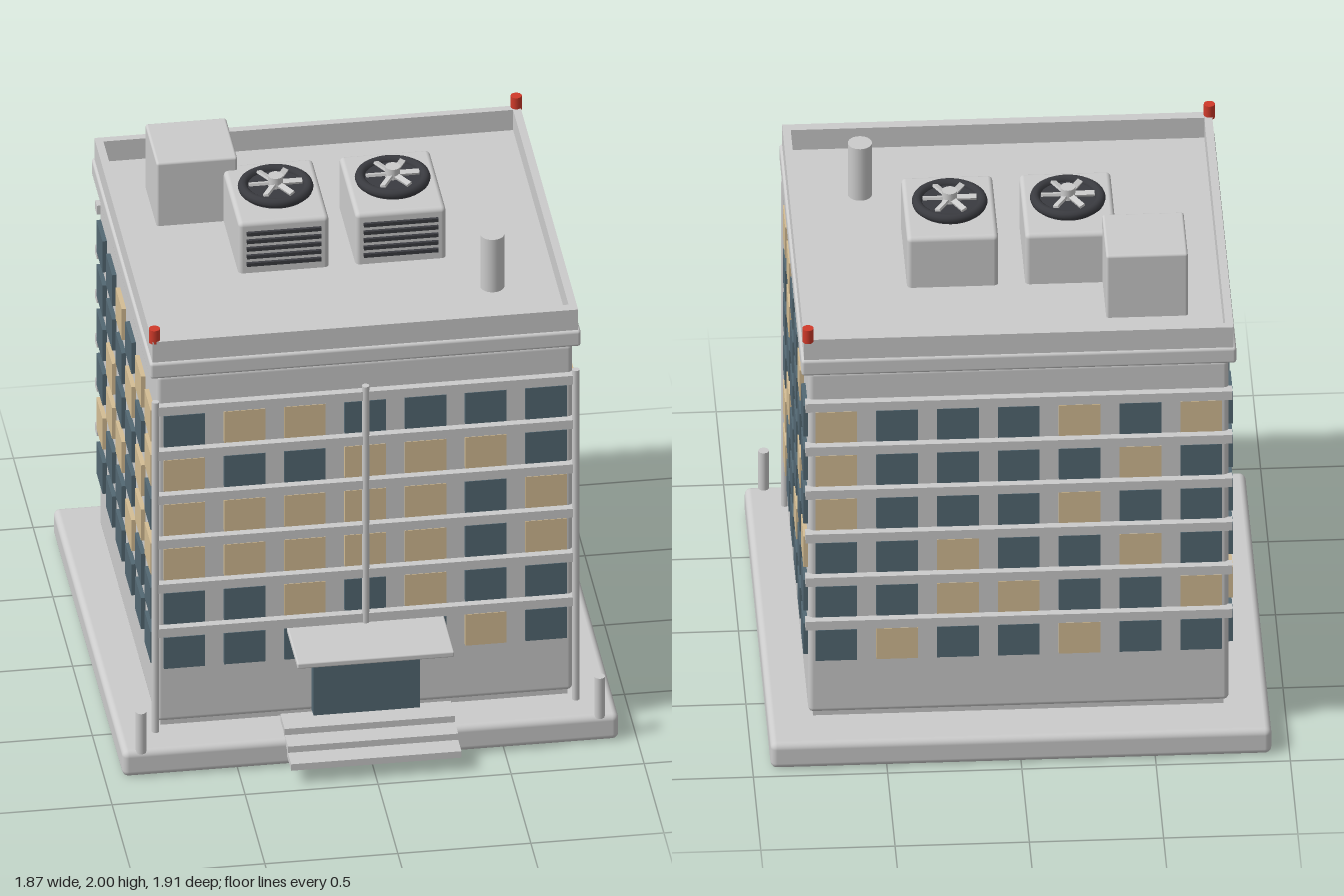
import * as THREE from 'three';
import { RoundedBoxGeometry } from 'three/addons/geometries/RoundedBoxGeometry.js';

const mat = (color) => new THREE.MeshStandardMaterial({ color });
const GREY = mat(0xcccccc);
const DARK = mat(0x3a3b40);
const BLUE = mat(0x536873);
const YELLOW = mat(0xd4bd94);
const RED = mat(0xd03a2a);
const PALE = mat(0xeeeeea);

// Window lighting, top floor first, left to right as seen facing each wall (Y = lit)
const LIT = {
  front: ['BYYBBBB', 'YBBYYYB', 'YYYYYBY', 'YYYYYBY', 'BBYBYBB', 'BBBBBYB'],
  right: ['YYBBYB', 'BYBBBB', 'BBBBYB', 'BYBBBY', 'YBBYBB', 'YBBBBB'],
  back: ['YBBBYBY', 'YBBBBYB', 'YBBBYBB', 'BBYBBYB', 'BBYYBBY', 'BYBBYBB'],
  left: ['BBYBYY', 'BBBYBY', 'BYBBYB', 'BYYBYY', 'YBBYBB', 'BBBBBB'],
};
const ROW_TOP = 1.407, ROW_STEP = 0.193;
const MID_Z = -0.06; // centre of the tower in depth

function add(parent, name, geometry, material, x = 0, y = 0, z = 0) {
  const mesh = new THREE.Mesh(geometry, material);
  mesh.name = name;
  mesh.position.set(x, y, z);
  parent.add(mesh);
  return mesh;
}

// Box given by its limits; r > 0 rounds the edges
function block(parent, name, [x0, x1], [y0, y1], [z0, z1], material = GREY, r = 0) {
  const s = [x1 - x0, y1 - y0, z1 - z0];
  const geo = r ? new RoundedBoxGeometry(...s, 3, r) : new THREE.BoxGeometry(...s);
  return add(parent, name, geo, material, (x0 + x1) / 2, (y0 + y1) / 2, (z0 + z1) / 2);
}

// Upright cylinder between two heights
function post(parent, name, r, y0, y1, x, z, material = GREY, sides = 24) {
  return add(parent, name, new THREE.CylinderGeometry(r, r, y1 - y0, sides), material, x, (y0 + y1) / 2, z);
}

// One wall of windows, built facing +z and then turned into place
function wall(name, angle, x, z, spacing, ledges) {
  const g = new THREE.Group();
  g.name = name + 'Wall';
  g.position.set(x, 0, z);
  g.rotation.y = angle;
  const pane = new THREE.BoxGeometry(0.155, 0.135, 0.04);
  LIT[name].forEach((line, row) => {
    const y = ROW_TOP - row * ROW_STEP;
    [...line].forEach((c, i) => {
      const px = (i - (line.length - 1) / 2) * spacing;
      add(g, 'window', pane, c === 'Y' ? YELLOW : BLUE, px, y, -0.003);
    });
    if (ledges) block(g, 'ledge', [-0.795, 0.795], [y + 0.077, y + 0.115], [-0.01, 0.03]);
  });
  return g;
}

// Rooftop cooling unit with front louvres and a fan on top
function coolingUnit(x) {
  const g = new THREE.Group();
  g.name = 'coolingUnit';
  g.position.set(x, 0, -0.115);
  block(g, 'unitCase', [-0.17, 0.17], [1.69, 1.93], [-0.215, 0.21], GREY, 0.018);
  for (let i = 0; i < 5; i++) {
    const y = 1.885 - i * 0.033;
    block(g, 'louvre', [-0.14, 0.14], [y - 0.007, y + 0.007], [0.2, 0.222], DARK);
  }
  post(g, 'fanHousing', 0.125, 1.92, 1.955, 0, 0, DARK, 32);
  const rim = add(g, 'fanRim', new THREE.TorusGeometry(0.122, 0.019, 10, 40), DARK, 0, 1.953, 0);
  rim.rotation.x = Math.PI / 2;
  post(g, 'fanHub', 0.028, 1.95, 2.0, 0, 0);
  for (let i = 0; i < 6; i++) {
    const arm = new THREE.Group();
    arm.name = 'fanBlade';
    arm.rotation.y = i * Math.PI / 3;
    const blade = add(arm, 'blade', new THREE.BoxGeometry(0.08, 0.01, 0.022), GREY, 0.06, 1.968, 0);
    blade.rotation.x = 0.3;
    g.add(arm);
  }
  return g;
}

// Rectangle outline in x and z, for the parapet ring
function rectangle(Type, x, z0, z1) {
  const s = new Type();
  s.moveTo(-x, -z1);
  s.lineTo(x, -z1);
  s.lineTo(x, -z0);
  s.lineTo(-x, -z0);
  s.closePath();
  return s;
}

export function createModel() {
  const model = new THREE.Group();
  model.name = 'officeBuilding';

  // Ground slab, foundation and tower
  block(model, 'groundSlab', [-0.933, 0.933], [0, 0.11], [-0.955, 0.82], GREY, 0.025);
  block(model, 'foundation', [-0.765, 0.765], [0.1, 0.16], [-0.76, 0.64]);
  block(model, 'tower', [-0.783, 0.783], [0.133, 1.642], [-0.78, 0.66], GREY, 0.02);

  // Window walls
  model.add(
    wall('front', 0, 0, 0.66, 0.2265, true),
    wall('back', Math.PI, 0, -0.78, 0.2265, true),
    wall('right', Math.PI / 2, 0.783, MID_Z, 0.244, false),
    wall('left', -Math.PI / 2, -0.783, MID_Z, 0.244, false),
  );

  // Cornice, roof and parapet ring
  block(model, 'cornice', [-0.81, 0.81], [1.643, 1.712], [-0.808, 0.685], GREY, 0.012);
  const ring = rectangle(THREE.Shape, 0.8, -0.8, 0.675);
  ring.holes.push(rectangle(THREE.Path, 0.77, -0.77, 0.635));
  const parapet = new THREE.ExtrudeGeometry(ring, { depth: 0.1, bevelEnabled: false });
  parapet.rotateX(-Math.PI / 2);
  add(model, 'parapet', parapet, GREY, 0, 1.7, 0);

  // Rooftop equipment
  model.add(coolingUnit(-0.22), coolingUnit(0.22));
  block(model, 'stairHouse', [-0.642, -0.338], [1.69, 1.985], [-0.575, -0.285], GREY, 0.01);
  post(model, 'ventPipe', 0.045, 1.7, 1.94, 0.53, 0.32);
  for (const [x, z] of [[-0.79, 0.655], [0.785, -0.792]]) {
    post(model, 'warningLight', 0.021, 1.79, 1.848, x, z, RED, 16);
  }

  // Front pipes and bollards
  for (const x of [-0.79, 0, 0.79]) post(model, 'drainPipe', 0.014, 0.11, 1.545, x, 0.682, GREY, 12);
  for (const x of [-0.862, 0.862]) post(model, 'bollard', 0.02, 0.1, 0.275, x, 0.803, GREY, 16);

  // Entrance: door, canopy with light strip, steps
  block(model, 'door', [-0.2, 0.2], [0.14, 0.43], [0.65, 0.71], BLUE);
  block(model, 'canopy', [-0.295, 0.295], [0.493, 0.517], [0.66, 0.945], GREY, 0.006);
  block(model, 'canopyLight', [-0.245, 0.245], [0.48, 0.494], [0.895, 0.918], PALE);
  for (let i = 0; i < 3; i++) {
    const y = 0.142 - i * 0.027, z = 0.79 + i * 0.0825;
    block(model, 'step', [-0.32, 0.32], [y - 0.028, y], [z - 0.11, z]);
  }
  return model;
}
